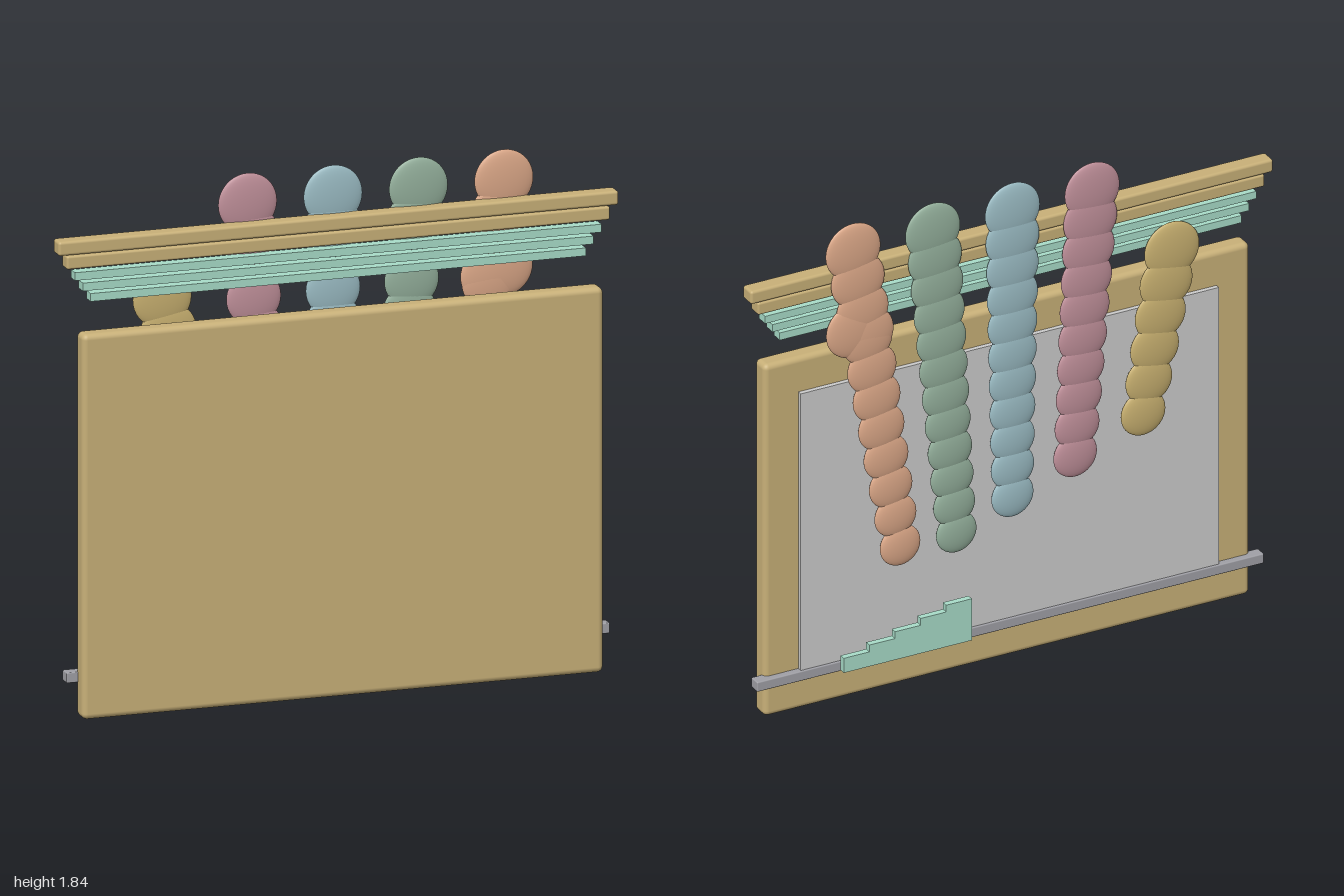
import * as THREE from 'three';
import { RoundedBoxGeometry } from 'three/addons/geometries/RoundedBoxGeometry.js';

const paint = (color) => new THREE.MeshStandardMaterial({ color });
const tan = paint(0xc8b078), mint = paint(0xa8dcc8), grey = paint(0xcccccc), steel = paint(0xa0a0a6);

// Box given by its x, y and z ranges, with optional rounded edges
function block(name, material, [x0, x1], [y0, y1], [z0, z1], radius = 0) {
  const size = [x1 - x0, y1 - y0, z1 - z0];
  const geometry = radius ? new RoundedBoxGeometry(...size, 3, radius) : new THREE.BoxGeometry(...size);
  const mesh = new THREE.Mesh(geometry, material);
  mesh.name = name;
  mesh.position.set((x0 + x1) / 2, (y0 + y1) / 2, (z0 + z1) / 2);
  return mesh;
}

const bead = new THREE.SphereGeometry(1, 32, 20);

function addBead(strand, material, x, y, r) {
  const mesh = new THREE.Mesh(bead, material);
  mesh.name = 'bead';
  mesh.position.set(x, y, -0.036);
  mesh.scale.set(r, r, 0.019);
  strand.add(mesh);
}

// Tapering strand of flattened, overlapping beads
function makeStrand(name, color, [x0, y0, r0], [x1, y1, r1]) {
  const strand = new THREE.Group();
  strand.name = name;
  const material = paint(color);
  const count = Math.round((y0 - y1) / 0.112);
  for (let i = 0; i <= count; i++) {
    const t = i / count, mix = THREE.MathUtils.lerp;
    addBead(strand, material, mix(x0, x1, t), mix(y0, y1, t), mix(r0, r1, t));
  }
  return strand;
}

export function createModel() {
  const model = new THREE.Group();

  // Board with its rear panel and rail
  model.add(block('board', tan, [-0.93, 0.93], [0, 1.35], [0, 0.073], 0.02));
  model.add(block('rearPanel', grey, [-0.8, 0.8], [0.13, 1.22], [-0.017, 0.01]));
  model.add(block('rail', steel, [-0.97, 0.97], [0.12, 0.157], [-0.024, 0.02], 0.004));

  // Cornice: two wooden mouldings above three shrinking slats
  const cornice = new THREE.Group();
  cornice.name = 'cornice';
  cornice.add(block('upperMoulding', tan, [-1, 1], [1.62, 1.67], [-0.035, 0.026], 0.01));
  cornice.add(block('lowerMoulding', tan, [-0.97, 0.97], [1.57, 1.617], [-0.03, 0.023], 0.008));
  for (let i = 0; i < 3; i++) {
    const half = 0.94 - i * 0.028, y = 1.529 - i * 0.039;
    cornice.add(block('slat', mint, [-half, half], [y, y + 0.028], [-0.024, 0.019]));
  }
  model.add(cornice);

  // Five hanging strands
  const strands = [
    ['yellowStrand', 0xc8b070, [-0.61, 1.425, 0.105], [-0.5, 0.825, 0.085]],
    ['pinkStrand', 0xc0909a, [-0.305, 1.73, 0.105], [-0.24, 0.73, 0.083]],
    ['blueStrand', 0x9bbcc4, [0, 1.73, 0.105], [0, 0.635, 0.08]],
    ['greenStrand', 0x94b09c, [0.305, 1.73, 0.105], [0.215, 0.55, 0.077]],
    ['orangeStrand', 0xdca888, [0.61, 1.73, 0.105], [0.43, 0.555, 0.077]],
  ].map((s) => makeStrand(...s));
  const orange = strands[4];
  addBead(orange, orange.children[0].material, 0.61, 1.425, 0.103); // bulge in the strand
  addBead(orange, orange.children[0].material, 0.555, 1.4, 0.1);
  model.add(...strands);

  // Stepped strip of five columns behind the rail
  const steps = new THREE.Group();
  steps.name = 'steppedStrip';
  for (let i = 0; i < 5; i++) {
    const x = 0.175 + i * 0.098;
    steps.add(block('step', mint, [x, x + 0.098], [0.14, 0.3 - i * 0.026], [-0.073, -0.05]));
  }
  model.add(steps);
  return model;
}
